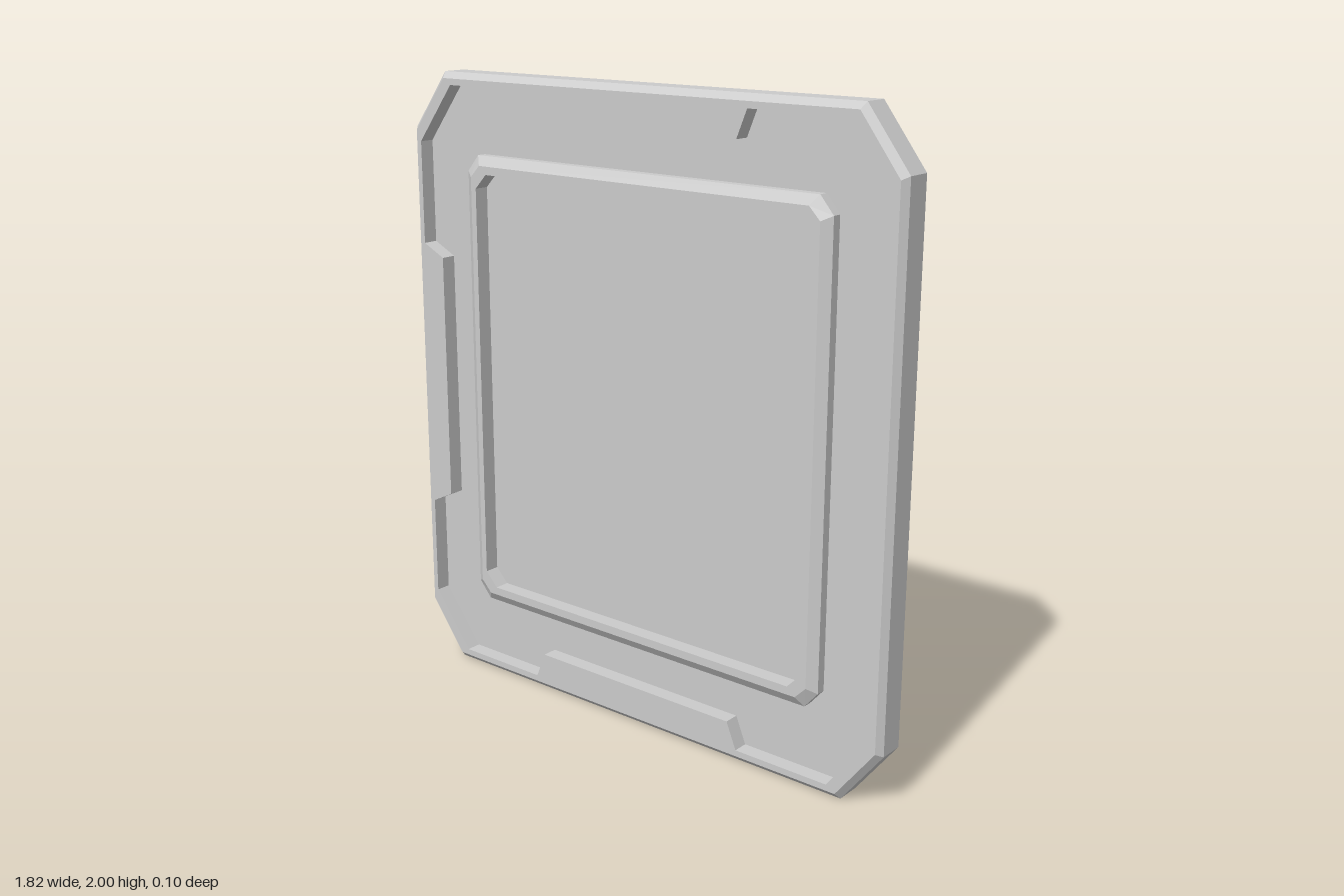
import * as THREE from 'three';

const material = new THREE.MeshStandardMaterial({ color: 0xcccccc, flatShading: true });
const BACK = -0.05, FLOOR = 0, SHOULDER = 0.03, TOP = 0.05, MID_Y = 1;

// Mirrors one quadrant's points (ordered from the +x side to the +y side) into a
// counter-clockwise loop.
function mirrorLoop(quarter) {
  const rev = [...quarter].reverse();
  return [
    ...quarter,
    ...rev.map(([x, y]) => [-x, y]),
    ...quarter.map(([x, y]) => [-x, -y]),
    ...rev.map(([x, y]) => [x, -y]),
  ];
}

// Rectangle with cut corners, given half sizes and the start of each cut.
const cutRect = (w, h, cx, cy) => mirrorLoop([[w, cy], [cx, h]]);

// Strip of faces between two matching loops; faces outward when zb > za.
function band(name, a, za, b, zb) {
  const pos = [];
  a.forEach((p, i) => {
    const j = (i + 1) % a.length;
    const p0 = [...p, za], p1 = [...a[j], za], q0 = [...b[i], zb], q1 = [...b[j], zb];
    pos.push(...p0, ...p1, ...q1, ...p0, ...q1, ...q0);
  });
  const geometry = new THREE.BufferGeometry();
  geometry.setAttribute('position', new THREE.Float32BufferAttribute(pos, 3));
  geometry.computeVertexNormals();
  return named(name, geometry);
}

// Flat face filling a loop, optionally with a hole.
function plate(name, loop, z, hole) {
  const toPoints = (l) => l.map(([x, y]) => new THREE.Vector2(x, y));
  const shape = new THREE.Shape(toPoints(loop));
  if (hole) shape.holes.push(new THREE.Path(toPoints(hole)));
  return named(name, new THREE.ShapeGeometry(shape).translate(0, 0, z));
}

function named(name, geometry) {
  const mesh = new THREE.Mesh(geometry, material);
  mesh.name = name;
  return mesh;
}

function group(name, ...parts) {
  const g = new THREE.Group();
  g.name = name;
  g.add(...parts);
  return g;
}

export function createModel() {
  // Outer body and rim, with tabs stepping inward at the middle of each side
  const outer = cutRect(0.912, 1, 0.775, 0.82);
  const rimTop = cutRect(0.895, 0.98, 0.766, 0.81);
  const rimInner = mirrorLoop([
    [0.795, 0.405], [0.877, 0.445], [0.877, 0.775],
    [0.735, 0.96], [0.41, 0.96], [0.375, 0.875],
  ]);
  const back = plate('backFace', outer, 0);
  back.rotation.y = Math.PI;
  back.position.z = BACK;
  const body = group('body',
    back,
    band('bodySides', outer, BACK, outer, SHOULDER),
    band('rimBevel', outer, SHOULDER, rimTop, TOP),
    plate('rimFace', rimTop, TOP, rimInner),
    band('rimInnerWall', rimInner, TOP, rimInner, FLOOR),
    plate('recessedFloor', rimInner, FLOOR));

  // Raised frame around the central panel
  const frameOuter = cutRect(0.685, 0.748, 0.64, 0.695);
  const frameTop = cutRect(0.655, 0.718, 0.618, 0.68);
  const frameInner = cutRect(0.635, 0.692, 0.59, 0.645);
  const frame = group('panelFrame',
    band('frameSides', frameOuter, FLOOR, frameOuter, SHOULDER),
    band('frameBevel', frameOuter, SHOULDER, frameTop, TOP),
    plate('frameFace', frameTop, TOP, frameInner),
    band('frameInnerWall', frameInner, TOP, frameInner, FLOOR));

  const plaque = group('plaque', body, frame);
  plaque.position.y = MID_Y;
  return group('model', plaque);
}
